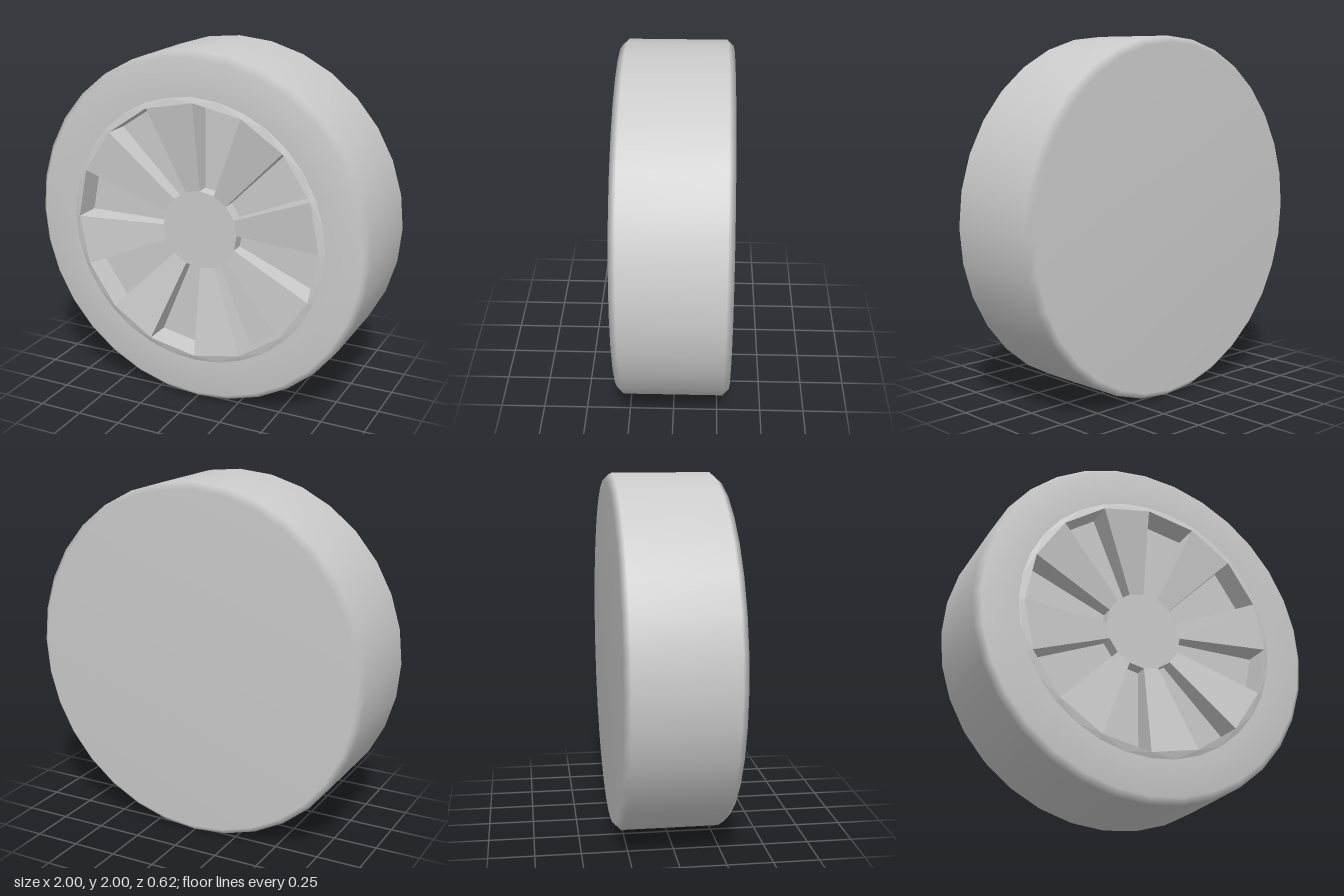
import * as THREE from 'three';

const SECTORS = 16;
const STEP = (Math.PI * 2) / SECTORS;
const RIM = { r: 0.73, z: 0.315 };
const HUB = { r: 0.225, z: 0.235 };
const FLOOR_Z = 0.16;
const TYRE_EDGE = { r: 0.76, z: 0.304 };

const material = new THREE.MeshStandardMaterial({ color: 0xcccccc });

// Point on a circle around the wheel axis, k in sector steps
const polar = (r, k, z) => [r * Math.cos(k * STEP), r * Math.sin(k * STEP), z];

// Flat-shaded mesh from convex faces, corners counter-clockwise
function faceMesh(name, faces) {
  const positions = [];
  for (const f of faces) {
    for (let i = 1; i < f.length - 1; i++) positions.push(...f[0], ...f[i], ...f[i + 1]);
  }
  const geo = new THREE.BufferGeometry();
  geo.setAttribute('position', new THREE.Float32BufferAttribute(positions, 3));
  geo.computeVertexNormals();
  const mesh = new THREE.Mesh(geo, material);
  mesh.name = name;
  return mesh;
}

export function createModel() {
  const wheel = new THREE.Group();
  wheel.name = 'wheel';

  // Tyre with closed back and softly shaded shoulders
  const profile = [
    [0, -0.31], [0.965, -0.31], [1, -0.275], [1, 0.268], [0.965, 0.305], [TYRE_EDGE.r, TYRE_EDGE.z],
  ].map(([r, z]) => new THREE.Vector2(r, z));
  const tyre = new THREE.Mesh(new THREE.LatheGeometry(profile, 32).rotateX(Math.PI / 2), material);
  tyre.name = 'tyre';
  wheel.add(tyre);

  const lip = [], hub = [];
  for (let i = 0; i < SECTORS; i++) {
    const h0 = polar(HUB.r, i, HUB.z), h1 = polar(HUB.r, i + 1, HUB.z);
    const o0 = polar(RIM.r, i, RIM.z), o1 = polar(RIM.r, i + 1, RIM.z);
    hub.push(h0);

    // Raised lip between tyre and spokes
    const [t0, tm, t1] = [0, 0.5, 1].map((k) => polar(TYRE_EDGE.r, i + k, TYRE_EDGE.z));
    lip.push([o0, t0, tm], [o0, tm, o1], [o1, tm, t1]);

    if (i % 2 === 0) {
      // Spoke sloping inwards to the hub
      wheel.add(faceMesh('spoke', [[h0, o0, o1, h1]]));
    } else {
      // Recess between two spokes: floor and four walls
      const [hf0, hf1] = [0, 1].map((k) => polar(HUB.r, i + k, FLOOR_Z));
      const [of0, of1] = [0, 1].map((k) => polar(RIM.r, i + k, FLOOR_Z));
      wheel.add(faceMesh('recess', [
        [hf0, of0, of1, hf1],
        [hf0, hf1, h1, h0],
        [of1, of0, o0, o1],
        [hf0, h0, o0, of0],
        [hf1, of1, o1, h1],
      ]));
    }
  }
  wheel.add(faceMesh('rimLip', lip), faceMesh('hubCap', [hub]));

  wheel.position.y = 1;
  const model = new THREE.Group();
  model.add(wheel);
  return model;
}
